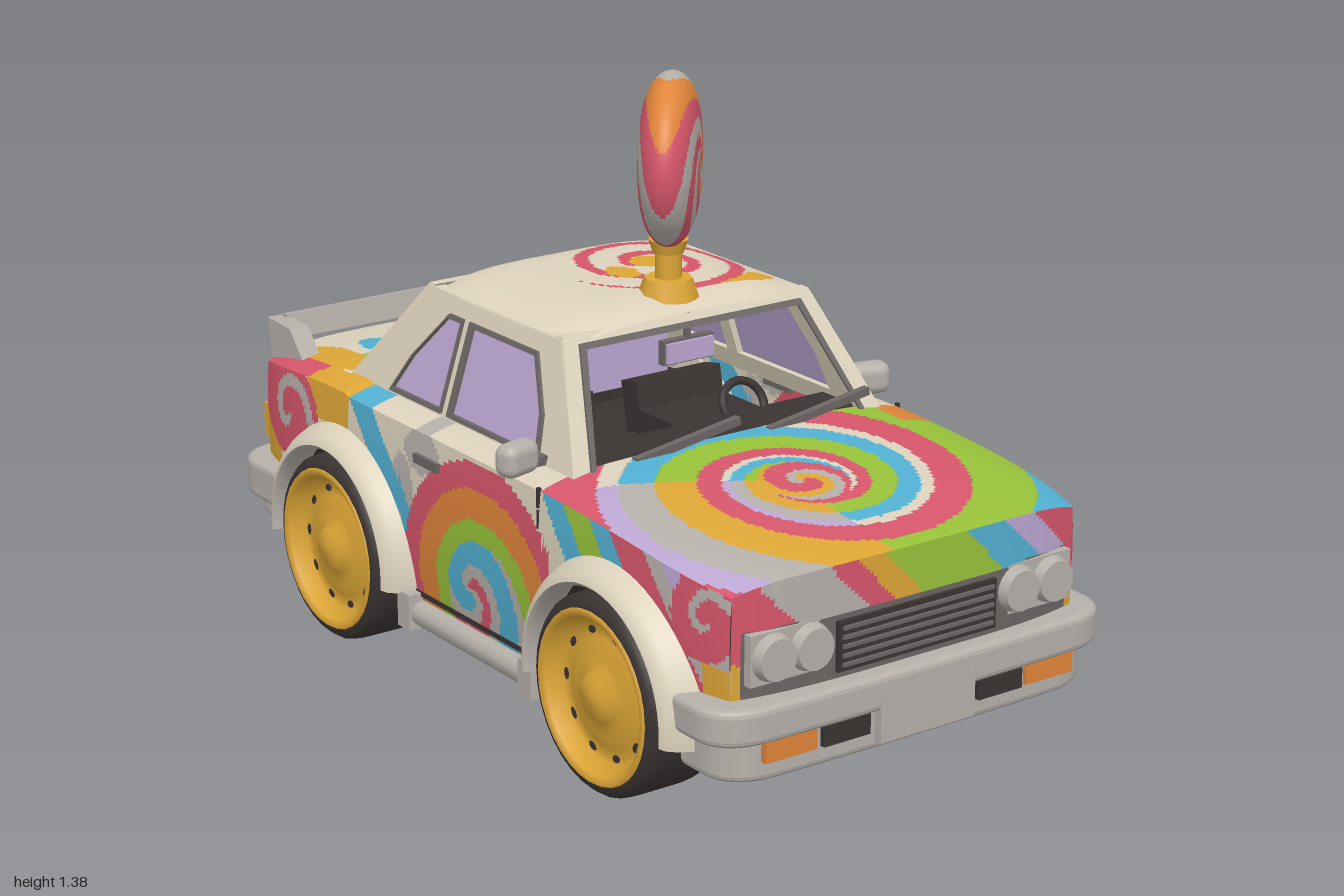
import * as THREE from 'three';
import { RoundedBoxGeometry } from 'three/addons/geometries/RoundedBoxGeometry.js';

const colours = {
  cream: 0xdcd2bc, grey: 0xb6b0aa, red: 0xd6566a, orange: 0xe0853a, gold: 0xdda636,
  green: 0x98c23a, blue: 0x52b0d2, lavender: 0xbca7d2, black: 0x3a3432, slate: 0x6c6664,
};
const mats = {};
for (const [name, color] of Object.entries(colours)) {
  mats[name] = new THREE.MeshStandardMaterial({ color, side: THREE.DoubleSide });
  mats[name].name = name;
}
const keys = Object.keys(colours);
const WHEELS = [-0.51, 0.56], HUB = 0.22;
const lerp = THREE.MathUtils.lerp;

// ---- helpers ----
function add(parent, name, geo, mat, x = 0, y = 0, z = 0) {
  const m = new THREE.Mesh(geo, mats[mat]);
  m.name = name;
  m.position.set(x, y, z);
  parent.add(m);
  return m;
}
const box = (p, name, mat, sx, sy, sz, x, y, z) => add(p, name, new THREE.BoxGeometry(sx, sy, sz), mat, x, y, z);

// Smooth grid surface whose quads are coloured by a rule
function painted(parent, name, nu, nv, at, paint) {
  const pos = [], lists = keys.map(() => []);
  for (let i = 0; i <= nu; i++) for (let j = 0; j <= nv; j++) pos.push(...at(i / nu, j / nv));
  for (let i = 0; i < nu; i++) for (let j = 0; j < nv; j++) {
    const u = (i + 0.5) / nu, v = (j + 0.5) / nv, a = i * (nv + 1) + j, b = a + nv + 1;
    lists[keys.indexOf(paint(...at(u, v), u, v))].push(a, b, a + 1, b, b + 1, a + 1);
  }
  const geo = new THREE.BufferGeometry();
  geo.setAttribute('position', new THREE.Float32BufferAttribute(pos, 3));
  geo.setIndex(lists.flat());
  let start = 0;
  lists.forEach((l, k) => { if (l.length) geo.addGroup(start, l.length, k); start += l.length; });
  geo.computeVertexNormals();
  const m = new THREE.Mesh(geo, keys.map(k => mats[k]));
  m.name = name;
  parent.add(m);
}
const poly = pts => new THREE.Shape(pts.map(p => new THREE.Vector2(...p)));
const scaled = (pts, k) => {
  const cx = pts.reduce((s, p) => s + p[0], 0) / pts.length, cy = pts.reduce((s, p) => s + p[1], 0) / pts.length;
  return pts.map(([x, y]) => [cx + (x - cx) * k, cy + (y - cy) * k]);
};
// Flat panel with holes, laid onto a sloping plane by a mapping
function sheet(parent, name, mat, pts, holes, depth, map) {
  const s = poly(pts);
  s.holes = holes.map(poly);
  const geo = new THREE.ExtrudeGeometry(s, { depth, bevelEnabled: false }), p = geo.attributes.position;
  for (let i = 0; i < p.count; i++) p.setXYZ(i, ...map(p.getX(i), p.getY(i), p.getZ(i)));
  geo.computeVertexNormals();
  add(parent, name, geo, mat);
}

// ---- body form ----
const beltY = x => x > 0.3 ? 0.605 - 0.02 * (x - 0.3) - 0.1 * (x - 0.3) ** 2 : x < -0.5 ? 0.61 - 0.2 * (x + 0.5) ** 2 : 0.605;
const sideZ = (x, y) => 0.495 - 0.05 * Math.abs(x / 0.95) ** 8 - 0.3 * (y - 0.42) ** 2;
const endX = v => 0.95 - 0.03 * v ** 4;
const deckY = (x, v) => beltY(x) + 0.01 - 0.03 * v ** 6;
const deckZ = x => sideZ(x, beltY(x) - 0.02);
const sillY = x => {
  let y = Math.abs(x) > 0.75 ? 0.22 : 0.15;
  for (const w of WHEELS) if (Math.abs(x - w) < 0.25) y = HUB + Math.sqrt(0.0625 - (x - w) ** 2);
  return y;
};

// ---- paint rules ----
const mod = (a, n) => ((a % n) + n) % n;
function swirl(a, b, pitch, list, dir = 1) {
  const phase = Math.hypot(a, b) / pitch + dir * Math.atan2(b, a) / (2 * Math.PI);
  return list[Math.floor(mod(phase, 1) * list.length)];
}
// Picks the colour of the first [limit, colour] pair above a value
const band = (t, pairs) => pairs.find(p => t < p[0])[1];
const blob = (x, y, cx, cy, rx, ry) => ((x - cx) / rx) ** 2 + ((y - cy) / ry) ** 2 < 1;

function sidePaint(x, y) {
  const r = Math.hypot(x - 0.08, y - 0.25);
  if (r < 0.33 && x < 0.34) {
    if (r < 0.15) return swirl(x - 0.02, y - 0.27, 0.18, ['grey', 'red', 'grey', 'blue', 'blue']);
    return band(r, [[0.2, 'green'], [0.27, 'orange'], [1, 'red']]);
  }
  if (x > 0.3) {
    if (y < 0.3) return 'grey';
    if (x > 0.85 && y < 0.38) return 'gold';
    if (Math.hypot(x - 0.86, y - 0.47) < 0.1) return swirl(x - 0.86, y - 0.47, 0.09, ['red', 'red', 'red', 'grey']);
    return band(x + (y - 0.55) * 0.8, [[0.33, 'cream'], [0.41, 'blue'], [0.5, 'green'], [0.57, 'blue'], [0.68, 'red'], [0.73, 'grey'], [0.78, 'lavender'], [2, 'red']]);
  }
  if (x < -0.75 && y < 0.3) return 'grey';
  if (Math.abs(x + 0.42 - (0.57 - y) * 0.9) < 0.05) return 'blue';
  if (blob(x, y, -0.77, 0.48, 0.15, 0.12)) return swirl(x + 0.77, y - 0.47, 0.13, ['red', 'red', 'red', 'grey']);
  if (x < -0.82) return y < 0.44 ? 'gold' : 'red';
  if (blob(x, y, -0.17, 0.54, 0.07, 0.05) || blob(x, y, -0.25, 0.4, 0.05, 0.12)) return 'grey';
  return x < -0.48 && x > -0.68 && y > 0.5 ? 'gold' : 'cream';
}
// Rainbow bands along a spiral that widens by a fixed ratio each turn
function hoodPaint(x, y, z) {
  const a = x - 0.6, b = 0.02 - z, r = Math.hypot(a, b), turn = mod(Math.atan2(b, a) / (2 * Math.PI), 1);
  if (x < 0.42 && z < -0.4) return 'orange';
  if (r < 0.1) return swirl(a, b, 0.1, ['red', 'red', 'gold', 'grey']);
  const t = mod(Math.log(r / 0.12) / Math.log(2.5) - turn + 0.25, 1);
  const lower = turn > 0.67 && z > 0.06;
  return band(t, [[0.28, 'red'], [0.64, lower ? 'gold' : 'green'], [0.88, lower ? 'grey' : 'blue'], [1, lower ? 'lavender' : 'cream']]);
}
function roofPaint(x, y, z) {
  const a = x + 0.13, b = -z - 0.1, r = Math.hypot(a, b);
  if (r < 0.045 || blob(x, z, -0.09, 0, 0.05, 0.035)) return 'gold';
  if (r < 0.225) return swirl(a, b, 0.1, ['red', 'cream', 'cream']);
  return blob(x, z, 0.06, -0.2, 0.04, 0.11) ? 'gold' : 'cream';
}
function trunkPaint(x, y, z) {
  if (Math.hypot(x + 0.8, z - 0.03) < 0.14) return swirl(x + 0.8, z - 0.03, 0.14, ['red', 'cream', 'cream', 'red']);
  if (Math.abs(z) > 0.42) return sidePaint(x, 0.57);
  if (blob(x, z, -0.65, -0.29, 0.06, 0.1) || blob(x, z, -0.72, 0.38, 0.16, 0.05)) return 'gold';
  if (blob(x, z, -0.72, 0.25, 0.09, 0.045)) return 'blue';
  if (blob(x, z, -0.62, 0.32, 0.06, 0.06)) return 'green';
  return blob(x, z, -0.7, 0.05, 0.025, 0.07) || blob(x, z, -0.86, -0.2, 0.05, 0.1) ? 'red' : 'cream';
}
function nosePaint(x, y, z) {
  if (y < 0.31) return 'grey';
  if (y < 0.455) return Math.abs(z) < 0.43 ? 'slate' : y < 0.39 ? 'gold' : 'red';
  return band(z + (0.55 - y), [[-0.33, 'red'], [-0.25, 'lavender'], [-0.14, 'blue'], [0.08, 'green'], [0.15, 'gold'], [0.22, 'red'], [0.4, 'grey'], [1, 'red']]);
}
function tailPaint(x, y, z) {
  if (y < 0.31) return 'grey';
  return band(z + 0.05 * Math.sin(y * 30), [[-0.38, 'red'], [-0.25, 'gold'], [-0.12, 'green'], [0.02, 'blue'], [0.08, 'cream'], [0.16, 'lavender'], [0.3, 'red'], [1, 'gold']]);
}

export function createModel() {
  const car = new THREE.Group();
  car.name = 'candyCar';

  // Body shell: two sides with shoulders, hood, trunk, nose and tail
  for (const s of [1, -1]) {
    painted(car, 'bodySide', 190, 44, (u, t) => {
      const x = lerp(-0.92, 0.92, u), y = lerp(sillY(x), beltY(x) - 0.02, t);
      return [x, y, s * sideZ(x, y)];
    }, sidePaint);
    painted(car, 'shoulder', 90, 10, (u, t) => {
      const x = lerp(-0.58, 0.3, u), z = lerp(0.39, deckZ(x), t);
      return [x, deckY(x, z / deckZ(x)), s * z];
    }, x => sidePaint(x, 0.585));
  }
  const deck = (x0, dir) => (u, t) => {
    const v = t * 2 - 1, x = lerp(x0, dir * endX(v), u);
    return [x, deckY(x, v), v * deckZ(x)];
  };
  painted(car, 'hood', 80, 116, deck(0.3, 1), hoodPaint);
  painted(car, 'trunkLid', 44, 110, deck(-0.58, -1), trunkPaint);
  const end = dir => (u, t) => {
    const v = t * 2 - 1, x = dir * endX(v), y = lerp(0.2, deckY(x, v), u);
    return [x, y, v * lerp(sideZ(0.92, y), deckZ(x), u)];
  };
  painted(car, 'nose', 40, 92, end(1), nosePaint);
  painted(car, 'tail', 40, 92, end(-1), tailPaint);

  // Underside and wheel arches
  box(car, 'floor', 'black', 1.64, 0.33, 0.68, 0.08, 0.315, 0);
  box(car, 'rearFloor', 'black', 0.17, 0.2, 0.86, -0.835, 0.3, 0);
  box(car, 'sillFloor', 'black', 0.56, 0.02, 0.9, 0.025, 0.155, 0);
  const arc = [Math.PI / 2 - 0.1, Math.PI + 0.2];
  const flarePts = [[0.25, 0.34], [0.25, 0.46], [0.236, 0.5], [0.236, 0.535], [0.246, 0.547], [0.262, 0.54], [0.278, 0.52], [0.3, 0.47]];
  const flare = n => new THREE.LatheGeometry(n.map(p => new THREE.Vector2(...p)), 32, ...arc).rotateX(Math.PI / 2);

  // Wheels
  const lathe = pts => new THREE.LatheGeometry(pts.map(p => new THREE.Vector2(...p)), 32).rotateX(Math.PI / 2);
  for (const s of [1, -1]) for (const wx of WHEELS) {
    const arch = new THREE.Group();
    arch.name = 'wheelArch';
    arch.position.set(wx, HUB, 0);
    arch.scale.z = s;
    add(arch, 'archLiner', flare(flarePts.slice(0, 2)), 'black');
    add(arch, 'archLip', flare(flarePts.slice(1, 5)), 'grey');
    add(arch, 'archFlare', flare(flarePts.slice(4)), 'cream');
    const wheel = new THREE.Group();
    wheel.name = 'wheel';
    wheel.position.z = 0.45;
    arch.add(wheel);
    add(wheel, 'tyre', lathe([[0.16, -0.095], [0.2, -0.095], [0.217, -0.08], [0.22, -0.05], [0.22, 0.05], [0.217, 0.075], [0.205, 0.09], [0.185, 0.092]]), 'black');
    add(wheel, 'rim', lathe([[0.192, 0.09], [0.187, 0.098], [0.172, 0.09], [0.155, 0.055], [0.12, 0.055], [0.09, 0.072], [0.06, 0.066], [0.045, 0.09], [0.0, 0.095]]), 'gold');
    add(wheel, 'rimBack', new THREE.CircleGeometry(0.165, 24), 'grey', 0, 0, -0.09);
    for (let i = 0; i < 10; i++) {
      const a = i * Math.PI / 5;
      const slot = add(wheel, 'rimSlot', new THREE.CircleGeometry(0.009, 8), 'black', 0.138 * Math.cos(a), 0.138 * Math.sin(a), 0.058);
      slot.rotation.z = a;
      slot.scale.y = 1.6;
    }
    car.add(arch);
  }

  // Cabin sides with windows
  const rearWin = [[-0.41, 0.615], [-0.36, 0.7], [-0.26, 0.81], [-0.205, 0.81], [-0.205, 0.615]];
  const frontWin = [[-0.165, 0.615], [-0.165, 0.81], [0.09, 0.81], [0.16, 0.7], [0.18, 0.615]];
  for (const s of [1, -1]) {
    const lay = off => (x, y, d) => [x, y, s * (0.428 - (y - 0.57) * 0.32 + d + off)];
    sheet(car, 'cabinSide', 'cream', [[-0.62, 0.57], [-0.52, 0.68], [-0.37, 0.855], [0.16, 0.855], [0.26, 0.7], [0.34, 0.57]], [rearWin, frontWin], 0.03, lay(-0.03));
    for (const w of [rearWin, frontWin]) {
      sheet(car, 'sideGlass', 'lavender', w, [], 0.006, lay(-0.014));
      sheet(car, 'windowTrim', 'slate', scaled(w, 1.06), [scaled(w, 0.96)], 0.008, lay(-0.002));
    }
    // Mirrors, handles, seams and sills
    const mirror = add(car, 'doorMirror', new RoundedBoxGeometry(0.06, 0.075, 0.1, 3, 0.025), 'grey', 0.2, 0.63, s * 0.48);
    mirror.rotation.y = s * 0.25;
    box(car, 'mirrorArm', 'slate', 0.03, 0.02, 0.07, 0.2, 0.615, s * 0.43);
    box(car, 'doorHandle', 'slate', 0.1, 0.022, 0.02, -0.14, 0.525, s * 0.49);
    for (let i = 0; i < 4; i++) box(car, 'doorSeam', 'black', 0.008, 0.045, 0.008, 0.295, 0.42 + i * 0.05, s * 0.489);
    const sill = add(car, 'sill', new THREE.CapsuleGeometry(0.03, 0.48, 4, 10), 'grey', 0.02, 0.15, s * 0.48);
    sill.rotation.z = Math.PI / 2;
    box(car, 'sillShadow', 'black', 0.5, 0.012, 0.02, 0.02, 0.195, s * 0.473);
    for (const x of [-0.22, 0.27]) box(car, 'sillCap', 'grey', 0.05, 0.085, 0.07, x, 0.155, s * 0.48);
  }

  // Open front and rear window frames, and the roof
  const frontX = y => 0.34 - (y - 0.57) * 0.62, backX = y => -0.62 + (y - 0.57) * 0.86;
  const trap = (b, y0, t, y1) => [[-b, y0], [b, y0], [t, y1], [-t, y1]];
  sheet(car, 'windscreenFrame', 'cream', trap(0.425, 0.57, 0.333, 0.86), [trap(0.365, 0.6, 0.292, 0.835)], 0.025, (z, y, d) => [frontX(y) - d, y, z]);
  sheet(car, 'windscreenTrim', 'slate', trap(0.377, 0.59, 0.3, 0.843), [trap(0.36, 0.605, 0.287, 0.832)], 0.007, (z, y, d) => [frontX(y) + d, y, z]);
  sheet(car, 'rearFrame', 'cream', trap(0.425, 0.57, 0.333, 0.86), [trap(0.3, 0.645, 0.28, 0.825)], 0.025, (z, y, d) => [backX(y) + d, y, z]);
  sheet(car, 'rearTrim', 'slate', trap(0.31, 0.637, 0.29, 0.833), [trap(0.295, 0.65, 0.275, 0.82)], 0.007, (z, y, d) => [backX(y) - d, y, z]);
  painted(car, 'roof', 60, 72, (u, t) => {
    const a = u * 2 - 1, v = t * 2 - 1;
    return [-0.105 + a * 0.275, 0.893 - 0.04 * v ** 4 - 0.03 * a ** 6, v * (0.339 - 0.01 * a ** 4)];
  }, roofPaint);

  // Interior
  box(car, 'dashboard', 'black', 0.16, 0.12, 0.78, 0.23, 0.54, 0);
  box(car, 'rearSeat', 'black', 0.14, 0.18, 0.66, -0.45, 0.56, 0);
  box(car, 'rearSeatFace', 'lavender', 0.008, 0.16, 0.66, -0.375, 0.59, 0);
  for (const z of [0.18, -0.18]) {
    box(car, 'frontSeat', 'black', 0.2, 0.08, 0.24, -0.02, 0.51, z);
    box(car, 'seatBack', 'black', 0.06, 0.12, 0.24, -0.14, 0.55, z).rotation.z = 0.2;
    const wiper = box(car, 'wiper', 'slate', 0.018, 0.018, 0.28, 0.32, 0.63, z - 0.06);
    wiper.rotation.x = 0.15;
  }
  const steer = add(car, 'steeringWheel', new THREE.TorusGeometry(0.055, 0.01, 8, 24), 'black', 0.14, 0.61, -0.17);
  steer.rotation.set(0, Math.PI / 2, 0.5, 'ZYX');
  box(car, 'innerMirror', 'lavender', 0.02, 0.045, 0.125, 0.16, 0.775, 0);
  box(car, 'innerMirrorBack', 'slate', 0.02, 0.055, 0.135, 0.152, 0.775, 0);
  box(car, 'innerMirrorStem', 'slate', 0.012, 0.07, 0.012, 0.155, 0.825, 0);

  // Bumpers
  const bumper = (name, x0, x1, w, y0, y1) => {
    const s = new THREE.Shape(), c = x1 - Math.sign(x1) * 0.1;
    s.moveTo(x0, -w);
    s.lineTo(c, -w);
    s.quadraticCurveTo(x1 - Math.sign(x1) * 0.015, -w, x1 - Math.sign(x1) * 0.01, -w + 0.1);
    s.quadraticCurveTo(x1, 0, x1 - Math.sign(x1) * 0.01, w - 0.1);
    s.quadraticCurveTo(x1 - Math.sign(x1) * 0.015, w, c, w);
    s.lineTo(x0, w);
    const g = new THREE.ExtrudeGeometry(s, { depth: y1 - y0 - 0.03, bevelSize: 0.015, bevelThickness: 0.015, bevelSegments: 3 });
    add(car, name, g.rotateX(-Math.PI / 2), 'grey', 0, y0 + 0.015, 0);
  };
  bumper('frontBumper', 0.8, 0.985, 0.51, 0.235, 0.315);
  bumper('frontValance', 0.82, 0.965, 0.475, 0.145, 0.25);
  bumper('rearBumper', -0.77, -0.985, 0.505, 0.23, 0.325);
  bumper('rearValance', -0.79, -0.965, 0.475, 0.18, 0.25);
  box(car, 'frontPlate', 'grey', 0.02, 0.11, 0.25, 0.985, 0.22, 0);
  box(car, 'rearPlate', 'grey', 0.02, 0.1, 0.25, -0.985, 0.25, 0);

  // Grille, lamps and tail lights
  box(car, 'grille', 'black', 0.02, 0.11, 0.42, 0.948, 0.385, 0);
  for (let i = 0; i < 5; i++) box(car, 'grilleBar', 'slate', 0.01, 0.008, 0.4, 0.959, 0.345 + i * 0.02, 0);
  for (const s of [1, -1]) {
    box(car, 'lampPanel', 'grey', 0.03, 0.11, 0.2, 0.932, 0.4, s * 0.325);
    for (const z of [0.275, 0.37]) {
      const lamp = add(car, 'headlamp', new THREE.CylinderGeometry(0.045, 0.054, 0.03, 20), 'grey', 0.955, 0.4, s * z);
      lamp.rotation.z = -Math.PI / 2;
    }
    box(car, 'indicator', 'orange', 0.02, 0.045, 0.13, 0.972, 0.213, s * 0.345);
    box(car, 'vent', 'black', 0.02, 0.045, 0.12, 0.976, 0.213, s * 0.205);
    box(car, 'tailLight', 'gold', 0.06, 0.08, 0.2, -0.93, 0.4, s * 0.345);
    box(car, 'brakeLight', 'orange', 0.008, 0.03, 0.15, -0.962, 0.4, s * 0.335);
    // Spoiler ends
    sheet(car, 'spoilerEnd', 'grey', [[-0.945, 0.655], [-0.84, 0.65], [-0.77, 0.57], [-0.93, 0.56]], [], 0.05, (x, y, d) => [x, y, s * (0.385 + d)]);
  }
  box(car, 'spoilerBar', 'grey', 0.03, 0.06, 0.8, -0.925, 0.63, 0).rotation.z = 0.2;

  // Roof lollipop
  const pop = new THREE.Group();
  pop.name = 'lollipop';
  pop.position.set(0.085, 1.19, -0.005);
  pop.rotation.y = -0.72;
  const candy = ['red', 'grey', 'red', 'grey', 'red', 'orange', 'grey', 'orange'];
  painted(pop, 'candyDisc', 120, 60, (u, v) => {
    const r = 0.192 * Math.sin(v * Math.PI) ** 0.6, a = u * 2 * Math.PI;
    return [1.08 * r * Math.cos(a), r * Math.sin(a), 0.066 * Math.cos(v * Math.PI)];
  }, (x, y, z, u) => candy[Math.floor(mod(u + Math.hypot(x, y) * 2.8, 1) * 8)]);
  car.add(pop);
  add(car, 'lollipopStick', new THREE.CylinderGeometry(0.03, 0.03, 0.12, 12), 'gold', 0.085, 0.96, 0);
  add(car, 'lollipopCollar', new THREE.CylinderGeometry(0.045, 0.035, 0.03, 12), 'gold', 0.085, 0.995, 0);
  add(car, 'lollipopBase', new THREE.CylinderGeometry(0.055, 0.07, 0.045, 8), 'gold', 0.085, 0.9, 0);
  return car;
}
